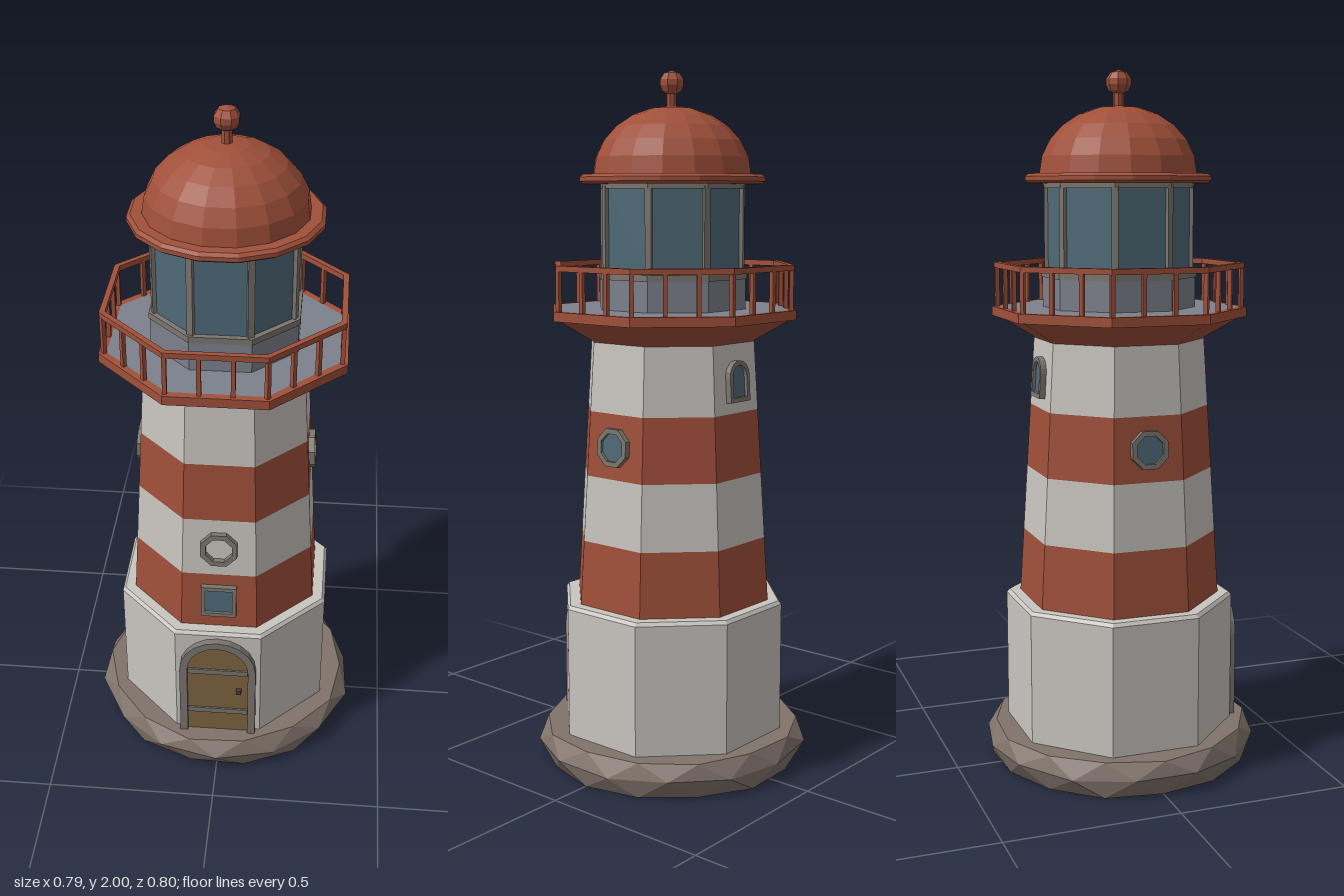
import * as THREE from 'three';

const mat = (name, color) => new THREE.MeshStandardMaterial({ name, color, flatShading: true });

export function createModel() {
  const white = mat('white plaster', 0xc9c5c0);
  const red = mat('brick red', 0xa0503a);
  const rock = mat('rock', 0x80736a);
  const stone = mat('frame stone', 0x7c766f);
  const slate = mat('slate', 0x7d818c);
  const glass = mat('glass', 0x4f6a78);
  const wood = mat('door wood', 0x7d6440);
  const iron = mat('dark iron', 0x4a4038);

  const model = new THREE.Group();
  model.name = 'lighthouse';
  const add = (name, geo, material, parent = model) => {
    const mesh = new THREE.Mesh(geo, material);
    mesh.name = name;
    parent.add(mesh);
    return mesh;
  };

  // Regular prism-like solid; profile is [apothem, y] with a flat side facing front
  const turned = (profile, sides = 8) => new THREE.LatheGeometry(
    profile.map(([r, y]) => new THREE.Vector2(r / Math.cos(Math.PI / sides), y)), sides, Math.PI / sides);

  // Faceted rock footing: three rings, the middle one wider and half a step round
  const N = 14, pos = [], idx = [];
  const wobble = (i, k) => 0.006 * Math.sin(i * 2.3 + k * 1.7);
  [[0.375, 0, 0.5], [0.4, 0.055, 0], [0.375, 0.1, 0.5]].forEach(([r, y, shift], k) => {
    for (let i = 0; i < N; i++) {
      const a = (i + shift) / N * Math.PI * 2;
      const rr = r + wobble(i, k);
      pos.push(rr * Math.sin(a), y + (k === 1 ? wobble(i, 5) : 0), rr * Math.cos(a));
    }
  });
  pos.push(0, 0, 0, 0, 0.1, 0);
  for (let i = 0; i < N; i++) {
    const j = (i + 1) % N, m = N, t = 2 * N;
    idx.push(i, m + j, m + i, i, j, m + j);
    idx.push(m + i, m + j, t + i, m + j, t + j, t + i);
    idx.push(3 * N, j, i, 3 * N + 1, t + i, t + j);
  }
  const rockGeo = new THREE.BufferGeometry();
  rockGeo.setAttribute('position', new THREE.Float32BufferAttribute(pos, 3));
  rockGeo.setIndex(idx);
  rockGeo.computeVertexNormals();
  add('rockFooting', rockGeo, rock);

  // Ground storey with bevelled ledge
  add('baseStorey', turned([[0.31, 0.09], [0.31, 0.478], [0.302, 0.488], [0.25, 0.488]]), white);

  // Tapering striped tower
  const SLOPE = 0.0587;
  const wallAt = y => 0.272 - SLOPE * (y - 0.488);
  const levels = [0.488, 0.675, 0.865, 1.05, 1.245];
  for (let i = 0; i < 4; i++) {
    const a = levels[i], b = levels[i + 1];
    add('towerBand' + (i + 1), turned([[wallAt(a), a], [wallAt(b), b]]), i % 2 ? white : red);
  }

  // Gallery: flared support, rim and deck
  add('gallerySupport', turned([[0.222, 1.24], [0.232, 1.25], [0.325, 1.308], [0.34, 1.308],
    [0.34, 1.335], [0.318, 1.335]]), red);
  add('galleryDeck', turned([[0.319, 1.335], [0.18, 1.335]]), slate);

  // Railing: top rail and three bays of posts on each side
  const railing = new THREE.Group();
  railing.name = 'railing';
  model.add(railing);
  add('topRail', turned([[0.317, 1.446], [0.333, 1.446], [0.333, 1.462], [0.317, 1.462], [0.317, 1.446]]), red, railing);
  const half = 0.325 * Math.tan(Math.PI / 8);
  for (let s = 0; s < 8; s++) {
    const side = new THREE.Group();
    side.name = 'railSide';
    side.rotation.y = s * Math.PI / 4;
    railing.add(side);
    for (let p = 0; p < 3; p++) {
      add('post', new THREE.BoxGeometry(0.012, 0.115, 0.012), red, side)
        .position.set(-half + p * half * 2 / 3, 1.392, 0.325);
    }
  }

  // Lantern room
  add('lanternWall', turned([[0.203, 1.335], [0.203, 1.425]]), slate);
  add('lanternSill', turned([[0.19, 1.42], [0.206, 1.42], [0.206, 1.438], [0.185, 1.438]]), stone);
  add('lanternGlass', turned([[0.19, 1.435], [0.19, 1.69]]), glass);
  add('lanternHead', turned([[0.185, 1.672], [0.199, 1.672], [0.199, 1.69]]), stone);
  for (let s = 0; s < 8; s++) {
    const a = (s + 0.5) * Math.PI / 4;
    const bar = add('mullion', new THREE.BoxGeometry(0.018, 0.25, 0.016), stone);
    bar.position.set(0.205 * Math.sin(a), 1.555, 0.205 * Math.cos(a));
    bar.rotation.y = a;
  }

  // Domed roof, brim and finial
  add('roofBrim', turned([[0, 1.685], [0.252, 1.685], [0.262, 1.692], [0.262, 1.704], [0.252, 1.712], [0.21, 1.712]], 16), red);
  const dome = [];
  for (let i = 0; i <= 6; i++) {
    const a = i / 6 * Math.PI / 2;
    dome.push([0.222 * Math.cos(a), 1.71 + 0.192 * Math.sin(a)]);
  }
  add('dome', turned(dome, 16), red);
  add('finial', turned([[0.014, 1.89], [0.014, 1.935], [0.026, 1.942], [0.033, 1.958],
    [0.033, 1.974], [0.022, 1.992], [0, 2]]), red);

  // Outlines for openings
  const arch = (w, y0, y1) => {
    const pts = [new THREE.Vector2(w, y0)];
    for (let i = 0; i <= 10; i++) {
      const a = i / 10 * Math.PI;
      pts.push(new THREE.Vector2(w * Math.cos(a), y1 + w * Math.sin(a)));
    }
    pts.push(new THREE.Vector2(-w, y0));
    return pts;
  };
  const polygon = (n, apothem) => Array.from({ length: n }, (_, i) => {
    const a = (i + 0.5) / n * Math.PI * 2, r = apothem / Math.cos(Math.PI / n);
    return new THREE.Vector2(r * Math.cos(a), r * Math.sin(a));
  });
  const extrude = (shape, depth) => new THREE.ExtrudeGeometry(shape, { depth, bevelEnabled: false });

  // Framed window lying on the sloping wall
  const addWindow = (name, y, turn, outer, inner, glazed = true) => {
    const pivot = new THREE.Group();
    pivot.name = name;
    pivot.rotation.y = turn;
    model.add(pivot);
    const mount = new THREE.Group();
    mount.name = name + 'Mount';
    mount.position.set(0, y, wallAt(y));
    mount.rotation.x = -Math.atan(SLOPE);
    pivot.add(mount);
    const shape = new THREE.Shape(outer);
    shape.holes.push(new THREE.Path(inner));
    add('windowFrame', extrude(shape, 0.021), stone, mount).position.z = -0.004;
    if (glazed) add('windowPane', extrude(new THREE.Shape(inner), 0.008), glass, mount);
  };
  addWindow('squareWindow', 0.585, 0, polygon(4, 0.052), polygon(4, 0.04));
  addWindow('frontRoundWindow', 0.77, 0, polygon(8, 0.053), polygon(8, 0.038), false);
  for (const s of [-1, 1]) {
    addWindow('sideRoundWindow', 0.957, s * Math.PI / 2, polygon(8, 0.053), polygon(8, 0.039));
  }
  addWindow('backArchedWindow', 1.14, Math.PI, arch(0.044, -0.058, 0.014), arch(0.031, -0.045, 0.014));

  // Arched door with surround, straps and knob
  const door = new THREE.Group();
  door.name = 'door';
  door.position.set(0, 0.1, 0.31);
  model.add(door);
  const surround = new THREE.Shape([...arch(0.115, 0, 0.252), ...arch(0.092, 0, 0.252).reverse()]);
  add('doorSurround', extrude(surround, 0.026), stone, door).position.z = -0.005;
  add('doorLeaf', extrude(new THREE.Shape(arch(0.093, 0, 0.252)), 0.009), wood, door);
  for (const y of [0.083, 0.243]) {
    add('doorStrap', new THREE.BoxGeometry(0.182, 0.018, 0.006), stone, door).position.set(0, y, 0.011);
  }
  add('doorKnob', new THREE.BoxGeometry(0.016, 0.016, 0.014), iron, door).position.set(0.064, 0.17, 0.014);

  return model;
}
